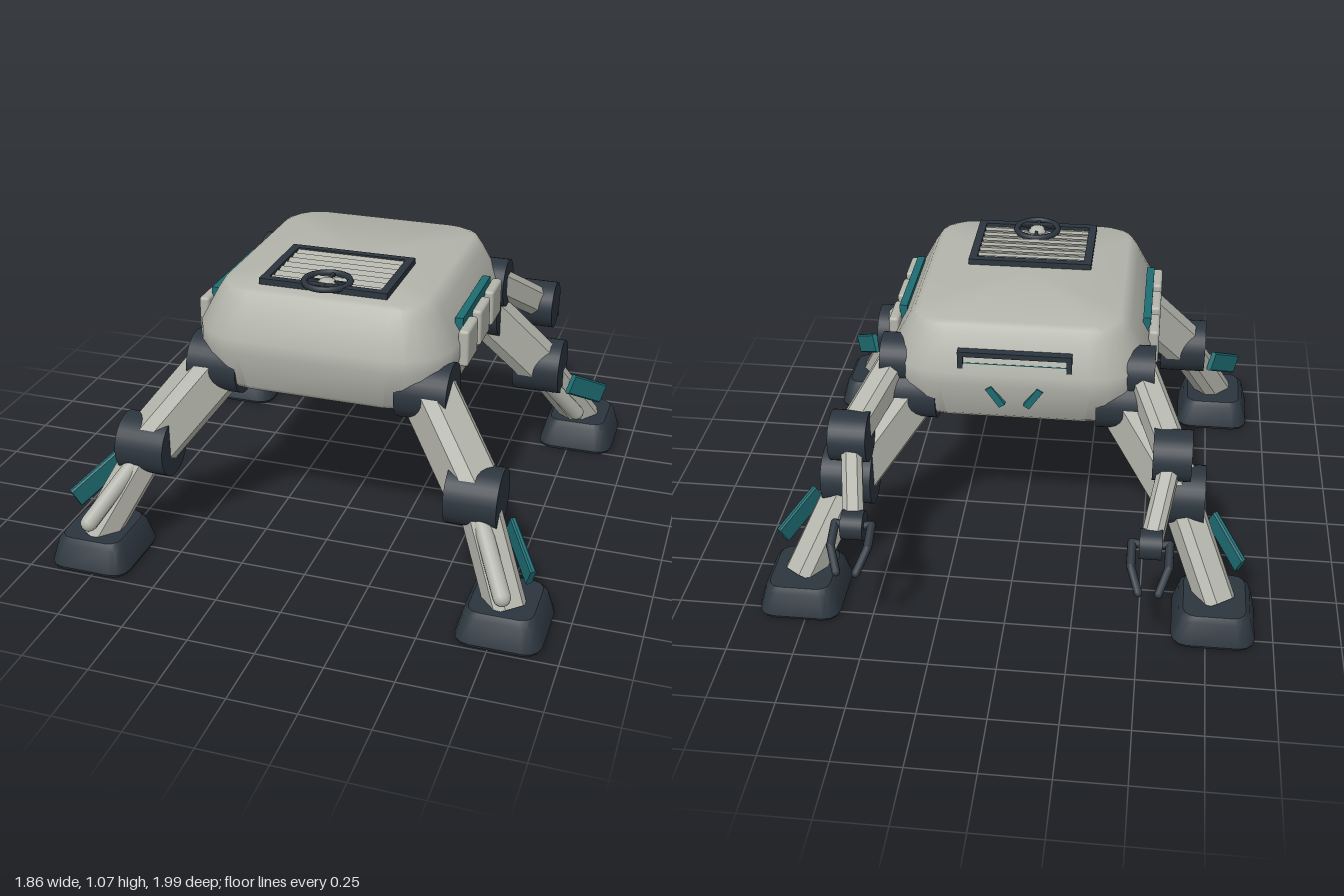
import * as THREE from 'three';
import { toCreasedNormals } from 'three/addons/utils/BufferGeometryUtils.js';
import { RoundedBoxGeometry } from 'three/addons/geometries/RoundedBoxGeometry.js';

const mat = (name, color) => {
  const m = new THREE.MeshStandardMaterial({ color });
  m.name = name;
  return m;
};

// Stack of rounded rectangles, each [y, halfX, halfZ, cornerRadius], capped at both ends
function loft(rings, steps = 4) {
  const pos = [], index = [], n = 4 * (steps + 1);
  for (const [y, hx, hz, r] of rings) {
    for (let q = 0; q < 4; q++) {
      const sx = q === 0 || q === 3 ? 1 : -1, sz = q < 2 ? 1 : -1;
      for (let k = 0; k <= steps; k++) {
        const a = (q + k / steps) * Math.PI / 2;
        pos.push(sx * (hx - r) + r * Math.cos(a), y, sz * (hz - r) + r * Math.sin(a));
      }
    }
  }
  const last = rings.length - 1, c = n * rings.length;
  pos.push(0, rings[0][0], 0, 0, rings[last][0], 0);
  for (let j = 0; j < n; j++) {
    const k = (j + 1) % n;
    for (let i = 0; i < last; i++) {
      const a = i * n + j, b = i * n + k;
      index.push(a, a + n, b, b, a + n, b + n);
    }
    index.push(c, j, k, c + 1, last * n + k, last * n + j);
  }
  const g = new THREE.BufferGeometry();
  g.setAttribute('position', new THREE.Float32BufferAttribute(pos, 3));
  g.setIndex(index);
  return toCreasedNormals(g, 0.6);
}

// Box section with chamfered long edges, running along z and centred
function chamferedBar(w, h, len, c) {
  const x = w / 2, y = h / 2;
  const pts = [[x, y - c], [x - c, y], [c - x, y], [-x, y - c], [-x, c - y], [c - x, -y], [x - c, -y], [x, c - y]];
  const shape = new THREE.Shape(pts.map(p => new THREE.Vector2(...p)));
  return new THREE.ExtrudeGeometry(shape, { depth: len, bevelEnabled: false }).translate(0, 0, -len / 2);
}

export function createModel() {
  const root = new THREE.Group();
  root.name = 'walker';
  const shell = mat('shellGrey', 0xb3b4ab);
  const dark = mat('darkSlate', 0x2c353e);
  const teal = mat('teal', 0x1d6c72);

  const add = (parent, name, geo, material, x = 0, y = 0, z = 0) => {
    const m = new THREE.Mesh(geo, material);
    m.name = name;
    m.position.set(x, y, z);
    parent.add(m);
    return m;
  };
  const box = (parent, name, material, w, h, d, x, y, z) =>
    add(parent, name, new THREE.BoxGeometry(w, h, d), material, x, y, z);
  // Bar or rod between two points
  const aim = (parent, name, geo, material, a, b) => {
    const m = new THREE.Mesh(geo, material);
    m.name = name;
    m.position.copy(a).lerp(b, 0.5);
    m.lookAt(b);
    parent.add(m);
  };
  const bar = (parent, name, material, a, b, w, h, c) =>
    aim(parent, name, chamferedBar(w, h, a.distanceTo(b), c), material, a, b);
  const rod = (parent, name, material, a, b, r) =>
    aim(parent, name, new THREE.CapsuleGeometry(r, a.distanceTo(b), 4, 12).rotateX(Math.PI / 2), material, a, b);
  // Joint drum with its axis across the body
  const joint = (parent, name, p, r, len) =>
    add(parent, name, new THREE.CylinderGeometry(r, r, len, 32).rotateZ(Math.PI / 2), dark, p.x, p.y, p.z);

  // Body shell
  add(root, 'body', loft([
    [0.66, 0.44, 0.47, 0.19], [0.68, 0.46, 0.49, 0.2], [0.82, 0.488, 0.522, 0.21], [0.87, 0.486, 0.52, 0.21],
    [1.0, 0.415, 0.46, 0.15], [1.03, 0.395, 0.44, 0.13], [1.04, 0.375, 0.42, 0.12]], 5), shell, 0, 0, 0.127);

  // Roof grille: frame, slats and a ringed knob
  const grille = new THREE.Group();
  grille.name = 'roofGrille';
  root.add(grille);
  for (const s of [-1, 1]) {
    box(grille, 'grilleSide', dark, 0.03, 0.03, 0.36, s * 0.225, 1.048, 0.33);
    box(grille, 'grilleEnd', dark, 0.48, 0.03, 0.03, 0, 1.048, 0.33 + s * 0.165);
  }
  for (let i = 0; i < 7; i++) {
    box(grille, 'slat', shell, 0.42, 0.012, 0.034, 0, 1.047, 0.19 + i * 0.046).rotation.x = 0.3;
  }
  add(grille, 'ring', new THREE.TorusGeometry(0.083, 0.012, 8, 32).rotateX(Math.PI / 2), dark, 0, 1.06, 0.455);
  box(grille, 'ringSpoke', dark, 0.16, 0.012, 0.012, 0, 1.058, 0.455);
  box(grille, 'ringSpoke', dark, 0.012, 0.012, 0.16, 0, 1.058, 0.455);
  add(grille, 'knob', new THREE.SphereGeometry(0.036, 20, 12).scale(1, 0.6, 1), shell, 0, 1.05, 0.455);

  // Rear slot and the pair of slanted marks below it
  for (const s of [-1, 1]) {
    box(root, 'rearSlotBar', dark, 0.42, 0.02, 0.05, 0, 0.91 + s * 0.036, -0.36);
    box(root, 'rearSlotEnd', dark, 0.02, 0.09, 0.05, s * 0.2, 0.91, -0.36);
    box(root, 'rearMark', teal, 0.026, 0.09, 0.02, s * 0.07, 0.78, -0.39).rotation.z = -s * 0.6;
  }
  box(root, 'rearSlotLight', teal, 0.38, 0.03, 0.03, 0, 0.893, -0.362);

  for (const s of [-1, 1]) {
    const P = (x, y, z) => new THREE.Vector3(s * x, y, z);
    const side = s > 0 ? 'left' : 'right';

    // Side tiles over a light strip
    box(root, side + 'Strip', teal, 0.03, 0.09, 0.42, s * 0.469, 0.902, 0.17);
    for (const z of [0.355, 0.165, -0.025]) {
      add(root, side + 'Tile', new RoundedBoxGeometry(0.04, 0.14, 0.148, 2, 0.012), shell, s * 0.498, 0.85, z);
    }

    // Legs
    for (const front of [true, false]) {
      const leg = new THREE.Group();
      leg.name = side + (front ? 'FrontLeg' : 'BackLeg');
      root.add(leg);
      const hip = P(0.395, 0.72, front ? 0.52 : -0.265);
      const knee = P(0.625, 0.42, front ? 0.685 : -0.43);
      const ankle = P(0.785, 0.09, front ? 0.86 : -0.65);
      joint(leg, 'hip', hip, 0.11, 0.19);
      bar(leg, 'thigh', shell, hip, knee, 0.17, 0.19, 0.035);
      joint(leg, 'knee', knee, 0.112, 0.19);
      bar(leg, 'shin', shell, knee, ankle, 0.13, 0.13, 0.03);
      if (front) rod(leg, 'piston', shell, P(0.64, 0.4, 0.73), P(0.78, 0.18, 0.925), 0.032);
      else rod(leg, 'piston', shell, P(0.65, 0.38, -0.38), P(0.775, 0.17, -0.52), 0.032);
      const za = front ? 0.7 : -0.45, zb = front ? 0.86 : -0.605;
      bar(leg, 'shinFin', teal, P(0.755, 0.335, za), P(0.865, 0.235, zb), 0.022, 0.085, 0.006);
      add(leg, 'foot', loft([[0, 0.15, 0.16, 0.06], [0.012, 0.155, 0.165, 0.06],
        [0.1, 0.132, 0.14, 0.05], [0.12, 0.115, 0.125, 0.045]], 3), dark, s * 0.777, 0, front ? 0.828 : -0.648);
    }

    // Arm with a two-fingered claw
    const arm = new THREE.Group();
    arm.name = side + 'Arm';
    root.add(arm);
    const shoulder = P(0.455, 0.84, -0.25), elbow = P(0.59, 0.655, -0.52), wrist = P(0.53, 0.475, -0.82);
    joint(arm, 'shoulder', shoulder, 0.095, 0.11);
    bar(arm, 'upperArm', shell, shoulder, elbow, 0.11, 0.12, 0.025);
    joint(arm, 'elbow', elbow, 0.095, 0.14);
    bar(arm, 'forearm', shell, elbow, wrist, 0.075, 0.08, 0.018);
    joint(arm, 'wrist', wrist, 0.054, 0.08);
    for (const f of [-1, 1]) {
      const a = P(0.53 + f * 0.066, 0.482, -0.825), b = P(0.53 + f * 0.066, 0.445, -0.91);
      const c = P(0.53 + f * 0.035, 0.385, -0.98);
      rod(arm, 'fingerRoot', dark, P(0.53 + f * 0.03, 0.478, -0.825), a, 0.015);
      rod(arm, 'fingerBase', dark, a, b, 0.016);
      rod(arm, 'fingerTip', dark, b, c, 0.015);
    }
  }
  return root;
}
